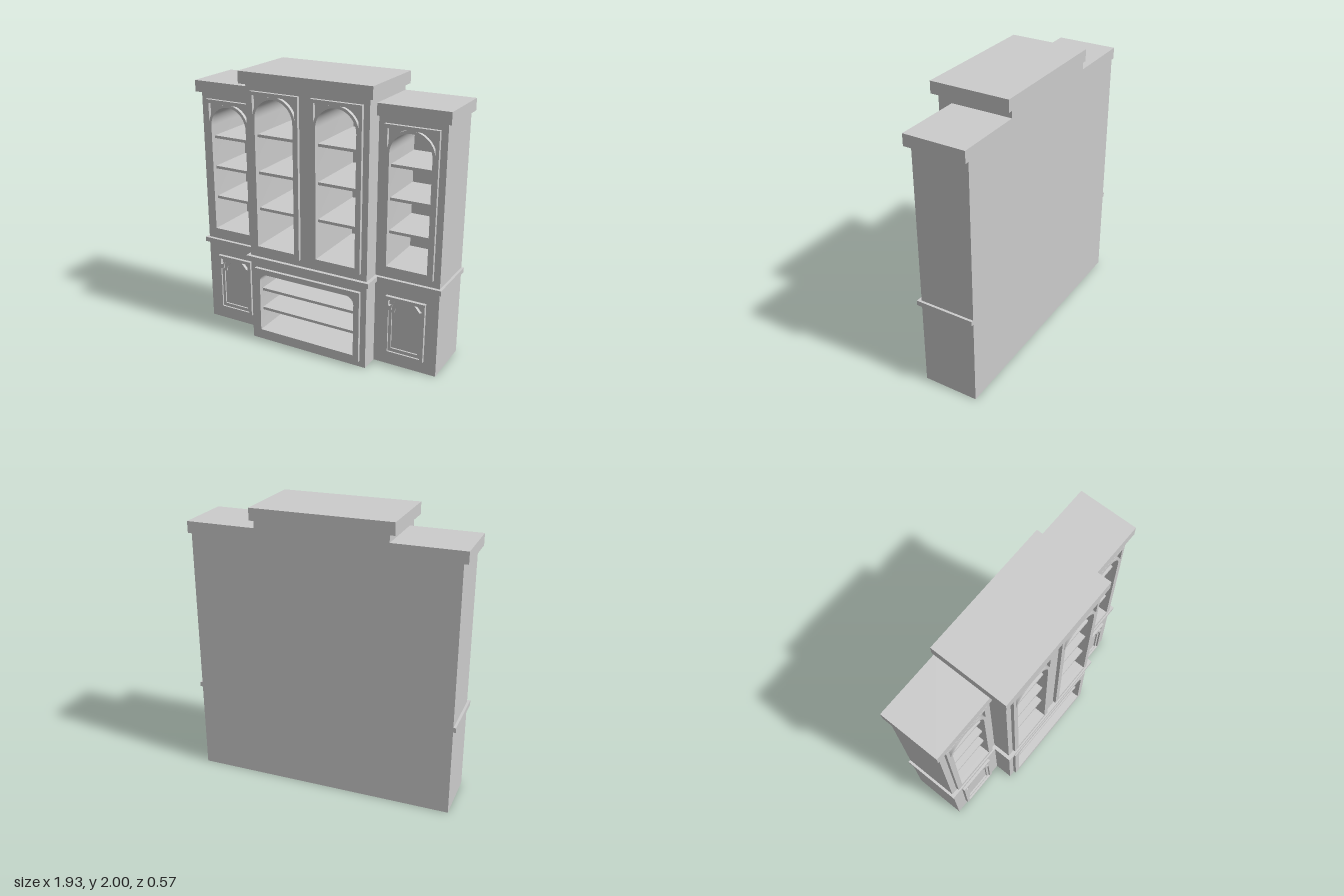
import * as THREE from 'three';
import { toCreasedNormals } from 'three/addons/utils/BufferGeometryUtils.js';

const BACK = -0.285;
const material = new THREE.MeshStandardMaterial({ color: 0xcccccc });

function add(parent, name, geometry) {
  const mesh = new THREE.Mesh(geometry, material);
  mesh.name = name;
  parent.add(mesh);
  return mesh;
}

// Box given by its limits
function box(parent, name, x0, x1, y0, y1, z0, z1) {
  add(parent, name, new THREE.BoxGeometry(x1 - x0, y1 - y0, z1 - z0))
    .position.set((x0 + x1) / 2, (y0 + y1) / 2, (z0 + z1) / 2);
}

// Outline with holes, extruded from z0 to z1
function slab(parent, name, outline, holes, z0, z1) {
  const shape = new THREE.Shape(outline);
  shape.holes = holes.map((h) => new THREE.Path(h));
  const geometry = new THREE.ExtrudeGeometry(shape, { depth: z1 - z0, bevelEnabled: false });
  add(parent, name, toCreasedNormals(geometry, 0.5)).position.z = z0;
}

const P = (x, y) => new THREE.Vector2(x, y);
const rect = (x0, x1, y0, y1) => [P(x0, y0), P(x1, y0), P(x1, y1), P(x0, y1)];

function arc(cx, cy, r, a0, a1, n = 20) {
  return Array.from({ length: n + 1 }, (_, i) => {
    const a = a0 + ((a1 - a0) * i) / n;
    return P(cx + r * Math.cos(a), cy + r * Math.sin(a));
  });
}

// Round-headed opening
const arched = (cx, r, y0, spring) =>
  [P(cx - r, y0), P(cx + r, y0), ...arc(cx, spring, r, 0, Math.PI, 28)];

// Round-headed panel with a small shoulder on each side
const shouldered = (cx, w, y0, shoulder, r, spring) => [
  P(cx - w, y0), P(cx + w, y0), P(cx + w, shoulder), P(cx + r, shoulder),
  ...arc(cx, spring, r, 0, Math.PI, 24), P(cx - r, shoulder), P(cx - w, shoulder)];

// Corner pocket between an arch and its square surround
function spandrel(cx, spring, r, w, h, side) {
  const a0 = Math.acos(w / r), a1 = Math.asin(h / r);
  return [...arc(0, 0, r, a0, a1, 14), P(w, h)].map((p) => P(cx + side * p.x, spring + p.y));
}

// Glazed-style door surround: arched opening with two sunk spandrels
function archedDoor(parent, cx, halfWidth, y0, y1, opening, spring, z) {
  const pockets = [1, -1].map((s) => spandrel(cx, spring, 0.168, 0.165, 0.165, s));
  slab(parent, 'archedDoorFrame', rect(cx - halfWidth, cx + halfWidth, y0, y1),
    [opening, ...pockets], z, z + 0.025);
}

function shelves(parent, cx, halfWidth, heights, zFront) {
  for (const y of heights)
    box(parent, 'shelf', cx - halfWidth, cx + halfWidth, y - 0.01, y + 0.01, BACK + 0.01, zFront);
}

function centreSection() {
  const g = new THREE.Group();
  g.name = 'centreSection';
  const z = 0.25, base = [];

  // Wide lower opening with rounded top corners
  const lower = [P(-0.38, 0.09), P(0.38, 0.09),
    ...arc(0.32, 0.48, 0.06, 0, Math.PI / 2, 8), ...arc(-0.32, 0.48, 0.06, Math.PI / 2, Math.PI, 8)];
  base.push(lower);
  slab(g, 'lowerFrame', rect(-0.422, 0.422, 0.045, 0.58), [lower], z, z + 0.025);
  shelves(g, 0, 0.38, [0.405, 0.25], z - 0.01);

  // Pair of tall arched doors
  for (const s of [-1, 1]) {
    const cx = s * 0.235;
    const opening = arched(cx, 0.149, 0.757, 1.68);
    base.push(opening);
    archedDoor(g, cx, 0.187, 0.715, 1.87, opening, 1.68, z);
    shelves(g, cx, 0.149, [1.56, 1.295, 1.03], z - 0.01);
  }
  slab(g, 'centreCarcass', rect(-0.465, 0.465, 0, 1.92), base, BACK + 0.02, z);
  box(g, 'centreBack', -0.465, 0.465, 0, 1.92, BACK, BACK + 0.02);
  box(g, 'centreCornice', -0.5, 0.5, 1.915, 2, BACK, 0.285);

  // Waist moulding across the front and round the returns
  box(g, 'centreWaistMoulding', -0.49, 0.49, 0.63, 0.665, z - 0.005, 0.277);
  for (const s of [-1, 1])
    box(g, 'waistReturn', s * 0.4775 - 0.0125, s * 0.4775 + 0.0125, 0.63, 0.665, 0.1, z);
  return g;
}

function wing(s) {
  const g = new THREE.Group();
  g.name = s > 0 ? 'leftWing' : 'rightWing';
  const z = 0.115, cx = s * 0.7;
  const span = (a, b) => (s > 0 ? [a, b] : [-b, -a]);

  // Carcass with its arched niche
  const opening = arched(cx, 0.148, 0.757, 1.545);
  slab(g, 'wingCarcass', rect(...span(0.465, 0.935), 0, 1.79), [opening], BACK + 0.02, z);
  box(g, 'wingBack', ...span(0.465, 0.935), 0, 1.79, BACK, BACK + 0.02);
  archedDoor(g, cx, 0.189, 0.715, 1.737, opening, 1.545, z);
  shelves(g, cx, 0.148, [1.457, 1.227, 0.995], z - 0.01);
  box(g, 'wingCornice', ...span(0.465, 0.965), 1.785, 1.867, BACK, 0.15);

  // Waist moulding on the front and the outer side
  box(g, 'wingWaistMoulding', ...span(0.465, 0.953), 0.63, 0.665, z - 0.005, 0.14);
  box(g, 'waistReturn', ...span(0.93, 0.953), 0.63, 0.665, BACK, z);

  // Cupboard door: stepped frame around a sunk panel
  const corners = [1, -1].map((k) =>
    [P(0.122, 0.512), P(0.122, 0.468), P(0.108, 0.468), P(0.07, 0.512)].map((p) => P(cx + k * p.x, p.y)));
  slab(g, 'cupboardDoorFrame', rect(cx - 0.145, cx + 0.145, 0.093, 0.535),
    [shouldered(cx, 0.122, 0.112, 0.435, 0.1, 0.413 + 0.022), ...corners].map((h) => h), z, z + 0.025);
  slab(g, 'cupboardInnerMoulding', shouldered(cx, 0.122, 0.112, 0.435, 0.1, 0.435),
    [shouldered(cx, 0.101, 0.137, 0.415, 0.08, 0.415)], z, z + 0.012);
  return g;
}

export function createModel() {
  const model = new THREE.Group();
  model.name = 'breakfrontBookcase';
  model.add(centreSection(), wing(1), wing(-1));
  return model;
}
